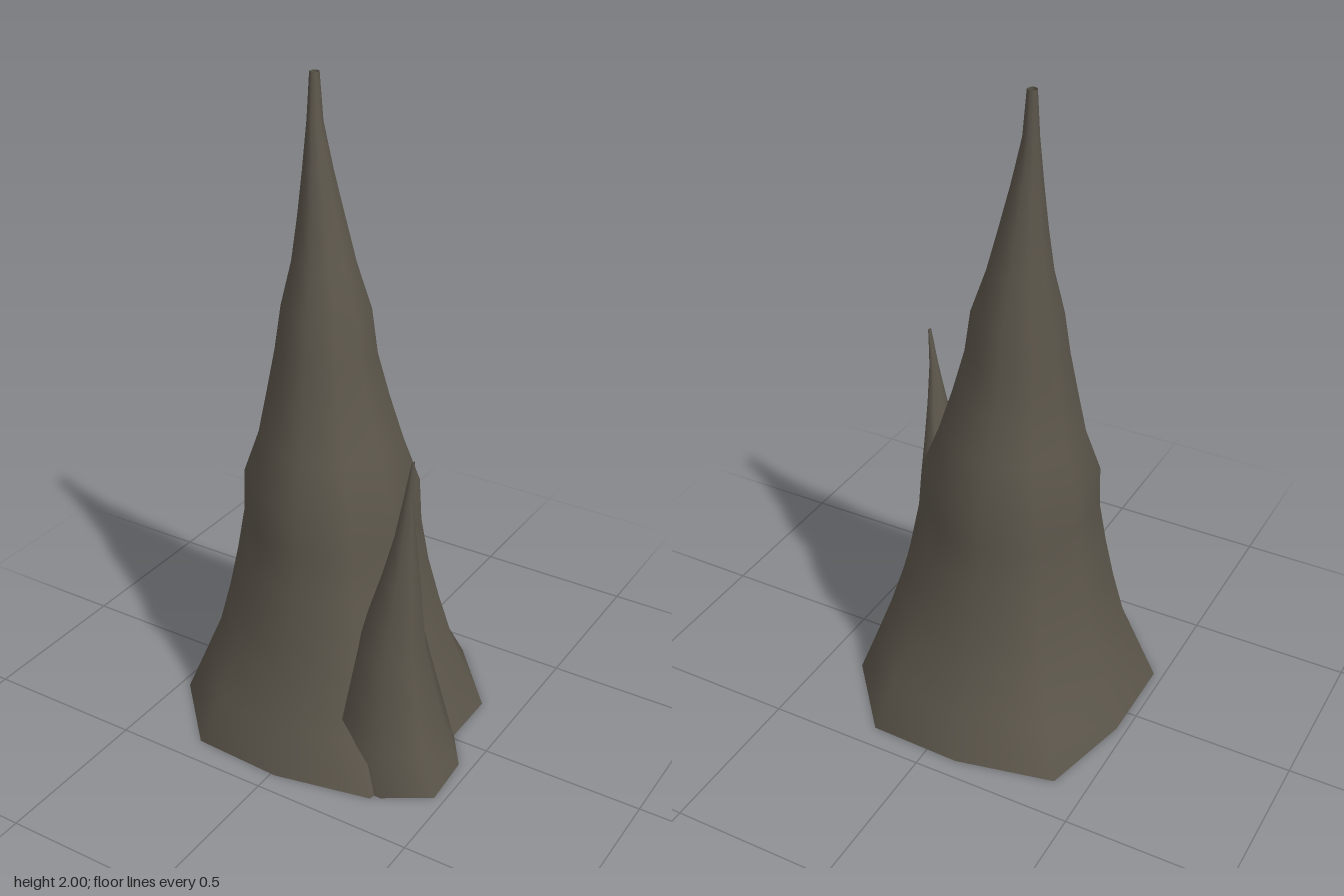
import * as THREE from 'three';

const stone = new THREE.MeshStandardMaterial({ color: 0x5c564b, side: THREE.DoubleSide });
stone.name = 'dark stone';

// Skin a stack of irregular rings. Each row is [y, xMin, xMax, zMin, zMax];
// the unit outline blends from baseShape to upperShape by blendTop.
function spire(name, rows, baseShape, upperShape, blendTop) {
  const n = baseShape.length, pos = [], idx = [];
  rows.forEach(([y, x0, x1, z0, z1], r) => {
    const t = Math.min(1, y / blendTop);
    for (let i = 0; i < n; i++) {
      const u = THREE.MathUtils.lerp(baseShape[i][0], upperShape[i][0], t);
      const v = THREE.MathUtils.lerp(baseShape[i][1], upperShape[i][1], t);
      pos.push((x0 + x1) / 2 + u * (x1 - x0) / 2, y, (z0 + z1) / 2 + v * (z1 - z0) / 2);
      if (r === 0) continue;
      const j = (i + 1) % n, a = (r - 1) * n + i, b = (r - 1) * n + j;
      idx.push(a, a + n, b, b, a + n, b + n);
    }
  });
  const geo = new THREE.BufferGeometry();
  geo.setAttribute('position', new THREE.Float32BufferAttribute(pos, 3));
  geo.setIndex(idx);
  geo.computeVertexNormals();
  const mesh = new THREE.Mesh(geo, stone);
  mesh.name = name;
  return mesh;
}

// Outlines run clockwise seen from above, so that faces point outward
const mainBase = [[-0.13, -1], [-0.835, -0.85], [-1, -0.18], [-1, 0.48], [-0.53, 0.965],
  [0.14, 1], [0.835, 0.86], [1, 0.18], [1, -0.46], [0.55, -0.98]];
const mainUpper = [[-0.14, -1], [-0.75, -0.775], [-1, -0.2], [-1, 0.45], [-0.475, 0.88],
  [0.155, 1], [0.745, 0.735], [0.98, 0.16], [1, -0.49], [0.45, -0.92]];
const smallBase = [[0.46, -1], [-0.24, -0.95], [-0.81, -0.3], [-1, 0.28], [-0.55, 0.95],
  [0.36, 1], [1, 0.58], [0.95, -0.26]];

const mainRows = [
  [0, -0.47, 0.38, -0.438, 0.435],
  [0.133, -0.42, 0.335, -0.375, 0.382],
  [0.267, -0.37, 0.29, -0.32, 0.33],
  [0.4, -0.339, 0.25, -0.288, 0.3],
  [0.533, -0.315, 0.215, -0.262, 0.273],
  [0.667, -0.296, 0.19, -0.246, 0.251],
  [0.8, -0.295, 0.18, -0.246, 0.246],
  [0.933, -0.255, 0.13, -0.21, 0.2],
  [1.067, -0.234, 0.09, -0.178, 0.164],
  [1.2, -0.213, 0.056, -0.15, 0.133],
  [1.333, -0.2, 0.035, -0.143, 0.108],
  [1.467, -0.177, -0.01, -0.115, 0.064],
  [1.6, -0.165, -0.045, -0.097, 0.035],
  [1.733, -0.156, -0.078, -0.078, 0.008],
  [1.867, -0.149, -0.108, -0.064, -0.017],
  [2, -0.147, -0.122, -0.064, -0.035],
];
const smallRows = [
  [0, 0.05, 0.469, -0.05, 0.357],
  [0.13, 0.09, 0.426, -0.015, 0.334],
  [0.26, 0.13, 0.397, 0.025, 0.314],
  [0.42, 0.175, 0.372, 0.08, 0.293],
  [0.53, 0.203, 0.365, 0.104, 0.275],
  [0.67, 0.248, 0.354, 0.136, 0.255],
  [0.8, 0.285, 0.346, 0.165, 0.238],
  [0.93, 0.312, 0.342, 0.193, 0.222],
  [1.055, 0.336, 0.344, 0.202, 0.214],
];

export function createModel() {
  const model = new THREE.Group();
  model.name = 'stalagmite';
  model.add(
    spire('mainSpire', mainRows, mainBase, mainUpper, 0.8),
    spire('smallSpire', smallRows, smallBase, smallBase, 1),
  );
  return model;
}
